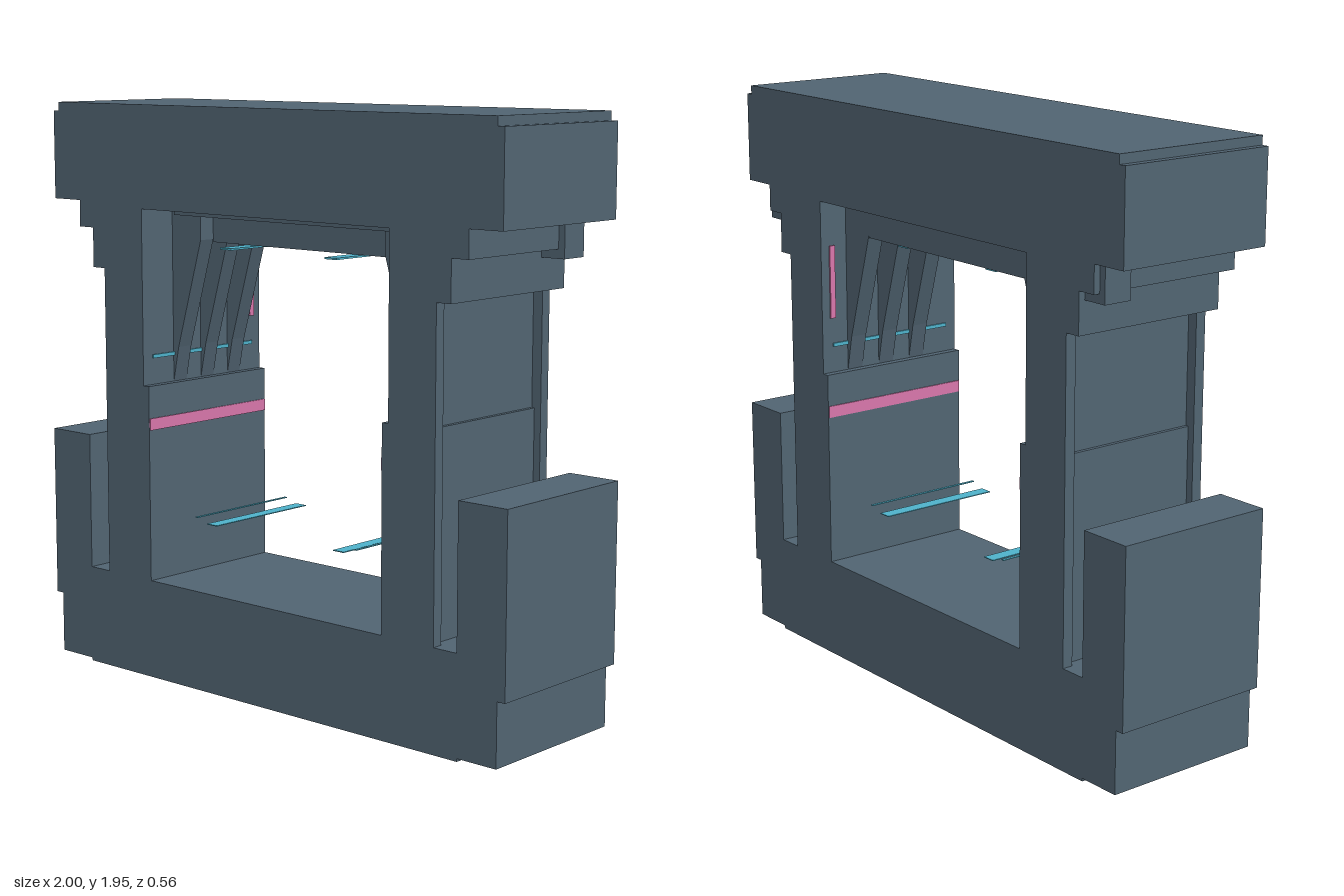
import * as THREE from 'three';

export function createModel() {
  const model = new THREE.Group();
  const mat = (name, color, side = THREE.FrontSide) => {
    const m = new THREE.MeshStandardMaterial({ color, side });
    m.name = name;
    return m;
  };
  const steel = mat('slate steel', 0x526573);
  const teal = mat('teal light', 0x4fb3cc, THREE.DoubleSide);
  const pink = mat('pink light', 0xd977ac, THREE.DoubleSide);

  const add = (name, geometry, material) => {
    const mesh = new THREE.Mesh(geometry, material);
    mesh.name = name;
    model.add(mesh);
    return mesh;
  };
  // box given by its limits on each axis
  const box = (name, x0, x1, y0, y1, z0, z1, material = steel) => {
    const mesh = add(name, new THREE.BoxGeometry(x1 - x0, y1 - y0, z1 - z0), material);
    mesh.position.set((x0 + x1) / 2, (y0 + y1) / 2, (z0 + z1) / 2);
    return mesh;
  };
  // the same box on both sides
  const pair = (name, x0, x1, ...rest) => {
    box(name + 'Left', x0, x1, ...rest);
    box(name + 'Right', -x1, -x0, ...rest);
  };
  const extrude = (shape, z0, z1) => {
    const g = new THREE.ExtrudeGeometry(shape, { depth: z1 - z0, bevelEnabled: false });
    return g.translate(0, 0, z0);
  };
  // closed symmetrical loop from its left half, listed from bottom to top
  const mirrored = half => [...half, ...half.map(([x, y]) => [-x, y]).reverse()]
    .map(p => new THREE.Vector2(...p));

  // gate section, with the outer wall of the columns at the given x
  const gate = (upperWall, lowerWall) => {
    const shape = new THREE.Shape(mirrored([
      [0.82, 0], [0.82, 0.01], [0.97, 0.01], [0.97, 0.22], [1, 0.22], [1, 0.81],
      [0.815, 0.81], [0.815, 0.34], [lowerWall, 0.34], [lowerWall, 1.01],
      [upperWall, 1.011], [upperWall, 1.395], [0.78, 1.395], [0.78, 1.53],
      [0.845, 1.53], [0.845, 1.62], [0.97, 1.62], [0.97, 1.92],
      [0.945, 1.92], [0.945, 1.95],
    ]));
    shape.holes.push(new THREE.Path(mirrored([
      [0.515, 0.34], [0.515, 1.01], [0.54, 1.01], [0.54, 1.605],
    ])));
    return shape;
  };
  add('frontFrame', extrude(gate(0.725, 0.725), 0.245, 0.282), steel);
  add('gateCore', extrude(gate(0.69, 0.7), -0.245, 0.245), steel);
  add('backFrame', extrude(gate(0.725, 0.725), -0.282, -0.245), steel);

  // small blocks under the overhang
  pair('overhangBlock', 0.78, 0.868, 1.5, 1.621, -0.26, -0.16);

  // tapered braces in the upper corners
  const brace = new THREE.Shape([
    [0.54, 1.01], [0.54, 1.605], [0.405, 1.605], [0.405, 1.5], [0.515, 1.13],
  ].map(p => new THREE.Vector2(...p)));
  const braceMirror = new THREE.Shape(brace.getPoints().map(p => new THREE.Vector2(-p.x, p.y)));
  for (const z of [-0.15, -0.02, 0.11]) {
    add('braceLeft', extrude(brace, z - 0.03, z + 0.03), steel);
    add('braceRight', extrude(braceMirror, z - 0.03, z + 0.03), steel);
  }

  // lintel beam and its mounting plate
  box('lintelBeam', -0.405, 0.405, 1.49, 1.606, -0.18, 0.08);
  box('lintelPlate', -0.47, 0.47, 1.585, 1.606, -0.22, 0.2);

  // thin ceiling and hovering light strips
  pair('ceilingLight', 0.205, 0.255, 1.483, 1.489, -0.17, 0.2, teal);
  pair('hoverLight', 0.26, 0.305, 0.557, 0.56, -0.22, 0.22, teal);
  pair('hoverLightThin', 0.35, 0.36, 0.573, 0.576, -0.22, 0.22, teal);

  // light bands on the inner walls
  pair('wallBand', 0.511, 0.516, 0.86, 0.9, -0.28, 0.28, pink);
  pair('wallLine', 0.534, 0.541, 1.1, 1.112, -0.24, 0.24, teal);
  pair('wallUpright', 0.534, 0.541, 1.2, 1.45, -0.25, -0.23, pink);

  return model;
}
